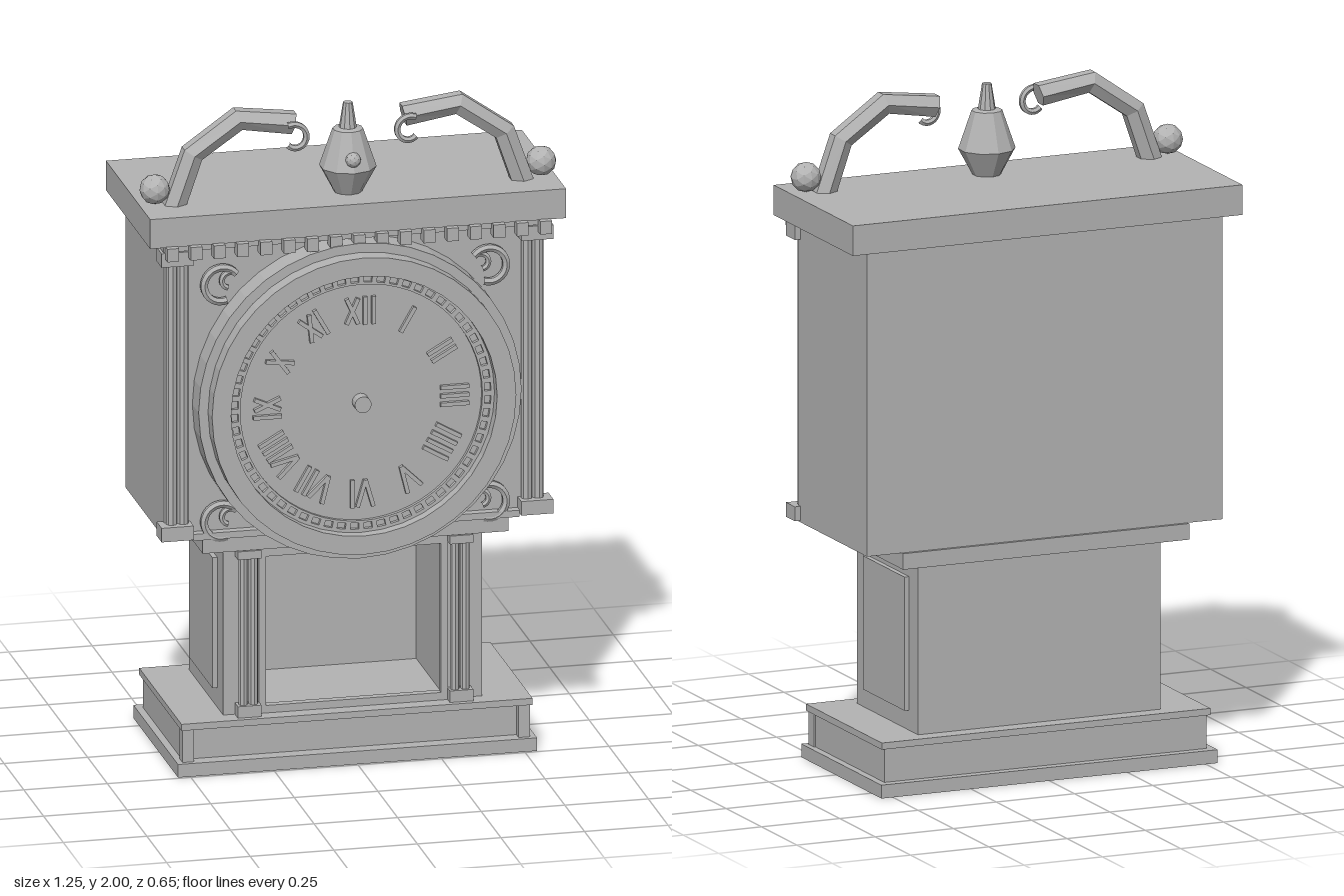
import * as THREE from 'three';

export function createModel() {
  const clock = new THREE.Group();
  clock.name = 'longcaseClock';
  const grey = new THREE.MeshStandardMaterial({ color: 0xb3b3b3, flatShading: true });
  grey.name = 'plain grey';

  const add = (name, geo, x = 0, y = 0, z = 0, parent = clock) => {
    const m = new THREE.Mesh(geo, grey);
    m.name = name;
    m.position.set(x, y, z);
    parent.add(m);
    return m;
  };
  // box given by its limits on each axis
  const box = (name, x0, x1, y0, y1, z0, z1, parent = clock) =>
    add(name, new THREE.BoxGeometry(x1 - x0, y1 - y0, z1 - z0),
      (x0 + x1) / 2, (y0 + y1) / 2, (z0 + z1) / 2, parent);
  // the same box on both sides
  const pair = (name, x0, x1, y0, y1, z0, z1) => {
    box(name, x0, x1, y0, y1, z0, z1);
    box(name, -x1, -x0, y0, y1, z0, z1);
  };
  const both = fn => [1, -1].forEach(fn);
  const ring = (r0, r1, depth, seg) => {
    const s = new THREE.Shape().absarc(0, 0, r1, 0, Math.PI * 2);
    s.holes.push(new THREE.Path().absarc(0, 0, r0, 0, Math.PI * 2, true));
    return new THREE.ExtrudeGeometry(s, { depth, bevelEnabled: false, curveSegments: seg });
  };

  // Base
  box('plinth', -0.537, 0.537, 0, 0.04, -0.323, 0.243);
  box('baseBody', -0.515, 0.515, 0.04, 0.14, -0.295, 0.2);
  pair('baseCornerPost', 0.485, 0.52, 0.04, 0.14, 0.19, 0.228);
  box('baseTrim', -0.525, 0.525, 0.14, 0.16, -0.3, 0.236);

  // Hollow trunk with open front
  pair('trunkSide', 0.28, 0.387, 0.16, 0.67, -0.25, 0.18);
  box('trunkBack', -0.28, 0.28, 0.16, 0.67, -0.25, -0.2);
  pair('trunkSidePanel', 0.38, 0.402, 0.22, 0.62, -0.187, 0.106);
  pair('doorStile', 0.262, 0.283, 0.16, 0.67, 0.165, 0.19);
  box('doorBottomRail', -0.265, 0.265, 0.16, 0.183, 0.165, 0.19);
  box('doorTopRail', -0.265, 0.265, 0.64, 0.67, 0.165, 0.19);

  // Twin columns, with a block at top and bottom
  const columns = (name, xs, r, y0, y1, z) => both(s => xs.forEach(x =>
    add(name, new THREE.CylinderGeometry(r, r, y1 - y0, 8), s * x, (y0 + y1) / 2, z)));
  columns('trunkColumn', [0.332, 0.301], 0.014, 0.16, 0.67, 0.198);
  pair('trunkColumnBase', 0.282, 0.352, 0.16, 0.195, 0.175, 0.219);
  pair('trunkColumnCapital', 0.282, 0.352, 0.645, 0.67, 0.175, 0.219);

  // Hood
  box('hoodMoulding', -0.457, 0.457, 0.672, 0.72, -0.3, 0.217);
  box('hoodBody', -0.568, 0.568, 0.72, 1.63, -0.29, 0.195);
  box('hoodBottomRail', -0.49, 0.49, 0.715, 0.735, 0.19, 0.222);
  columns('hoodColumn', [0.548, 0.514], 0.017, 0.75, 1.6, 0.207);
  pair('hoodColumnBase', 0.49, 0.586, 0.725, 0.768, 0.18, 0.243);
  pair('hoodColumnCapital', 0.49, 0.586, 1.567, 1.61, 0.18, 0.243);
  box('frieze', -0.58, 0.58, 1.612, 1.635, 0.1, 0.24);
  box('cornice', -0.622, 0.622, 1.63, 1.72, -0.31, 0.25);
  for (let i = -8; i <= 8; i++) {
    const x = i * 0.0697;
    box('dentil', x - 0.0175, x + 0.0175, 1.592, 1.632, 0.23, 0.271);
  }

  // Dial, with bezel, minute track and hub
  const dial = new THREE.Group();
  dial.name = 'dial';
  dial.position.set(0, 1.125, 0);
  clock.add(dial);
  add('dialBackRing', ring(0.39, 0.483, 0.085, 20), 0, 0, 0.19, dial);
  add('bezel', ring(0.398, 0.455, 0.065, 20), 0, 0, 0.262, dial);
  add('dialFace', new THREE.CylinderGeometry(0.4, 0.4, 0.09, 40).rotateX(Math.PI / 2), 0, 0, 0.235, dial);
  add('minuteTrackOuter', ring(0.388, 0.398, 0.012, 30), 0, 0, 0.28, dial);
  add('minuteTrackInner', ring(0.362, 0.369, 0.012, 30), 0, 0, 0.28, dial);
  add('hub', new THREE.CylinderGeometry(0.025, 0.025, 0.04, 16).rotateX(Math.PI / 2), 0, 0, 0.295, dial);
  for (let i = 0; i < 60; i++) {
    const a = i * Math.PI / 30;
    const t = add('minuteMark', new THREE.BoxGeometry(0.015, 0.024, 0.012),
      Math.sin(a) * 0.378, Math.cos(a) * 0.378, 0.286, dial);
    t.rotation.z = -a;
  }

  // Hour marks made of straight strokes, set radially
  const strokes = { I: [[0, 0]], V: [[-0.012, 0.28], [0.012, -0.28]], X: [[0, 0.42], [0, -0.42]] };
  const widths = { I: 0.026, V: 0.052, X: 0.05 };
  ['XII', 'I', 'II', 'III', 'IIII', 'V', 'VI', 'VII', 'VIII', 'IX', 'X', 'XI'].forEach((word, h) => {
    const mark = new THREE.Group();
    mark.name = 'hourMark';
    const a = h * Math.PI / 6;
    mark.position.set(Math.sin(a) * 0.28, Math.cos(a) * 0.28, 0.285);
    mark.rotation.z = -a;
    dial.add(mark);
    let x = -[...word].reduce((sum, c) => sum + widths[c], 0) / 2;
    for (const c of word) {
      x += widths[c] / 2;
      for (const [dx, tilt] of strokes[c])
        add('stroke', new THREE.BoxGeometry(0.012, 0.085, 0.014), x + dx, 0, 0, mark).rotation.z = tilt;
      x += widths[c] / 2;
    }
  });

  // Curled ornaments: an arc that tightens into a hook
  const curl = (name, x, y, z, r, tube, start, sweep, hook) => {
    const pts = [];
    for (let i = 0; i <= 12; i++) {
      const t = i / 12, a = start + sweep * t, rr = r * (1 - hook * t);
      pts.push(new THREE.Vector3(Math.cos(a) * rr, Math.sin(a) * rr, 0));
    }
    add(name, new THREE.TubeGeometry(new THREE.CatmullRomCurve3(pts), 20, tube, 6), x, y, z);
  };
  both(s => {
    const flip = a => (s > 0 ? a : Math.PI - a);
    for (const y of [1.49, 0.765])
      curl('cornerScroll', s * 0.4, y, 0.212, 0.055, 0.012, flip(2.5), s * -4.4, 0.1);
    for (const y of [1.49, 0.765])
      curl('cornerScrollHook', s * 0.375, y + 0.012, 0.212, 0.027, 0.009, flip(2.3), s * -3.6, 0.2);
    curl('pedimentCurl', s * 0.172, 1.91, 0.17, 0.043, 0.01, flip(1.1), s * 4.4, 0.35);
  });

  // Swan-neck pediment arms with ball ornaments
  both(s => {
    const pts = [[0.522, 1.71], [0.455, 1.885], [0.298, 1.973], [0.165, 1.942]]
      .map(([x, y]) => new THREE.Vector3(s * x, y, 0.12));
    const path = new THREE.CatmullRomCurve3(pts);
    add('swanNeck', new THREE.TubeGeometry(path, 3, 0.036, 6));
    const cap = add('swanNeckEnd', new THREE.CircleGeometry(0.036, 6), ...pts[3].toArray());
    cap.lookAt(pts[3].clone().add(path.getTangentAt(1)));
    add('cornerBall', new THREE.IcosahedronGeometry(0.045, 1), s * 0.578, 1.768, 0.12);
  });

  // Central finial with rosette
  const profile = [[0, 1.715], [0.042, 1.72], [0.084, 1.798], [0.045, 1.912], [0.026, 1.916], [0.014, 1.992], [0, 1.992]];
  add('finial', new THREE.LatheGeometry(profile.map(p => new THREE.Vector2(...p)), 10), 0, 0, 0.12);
  add('finialRosette', new THREE.IcosahedronGeometry(0.023, 1), 0, 1.835, 0.187);

  return clock;
}
